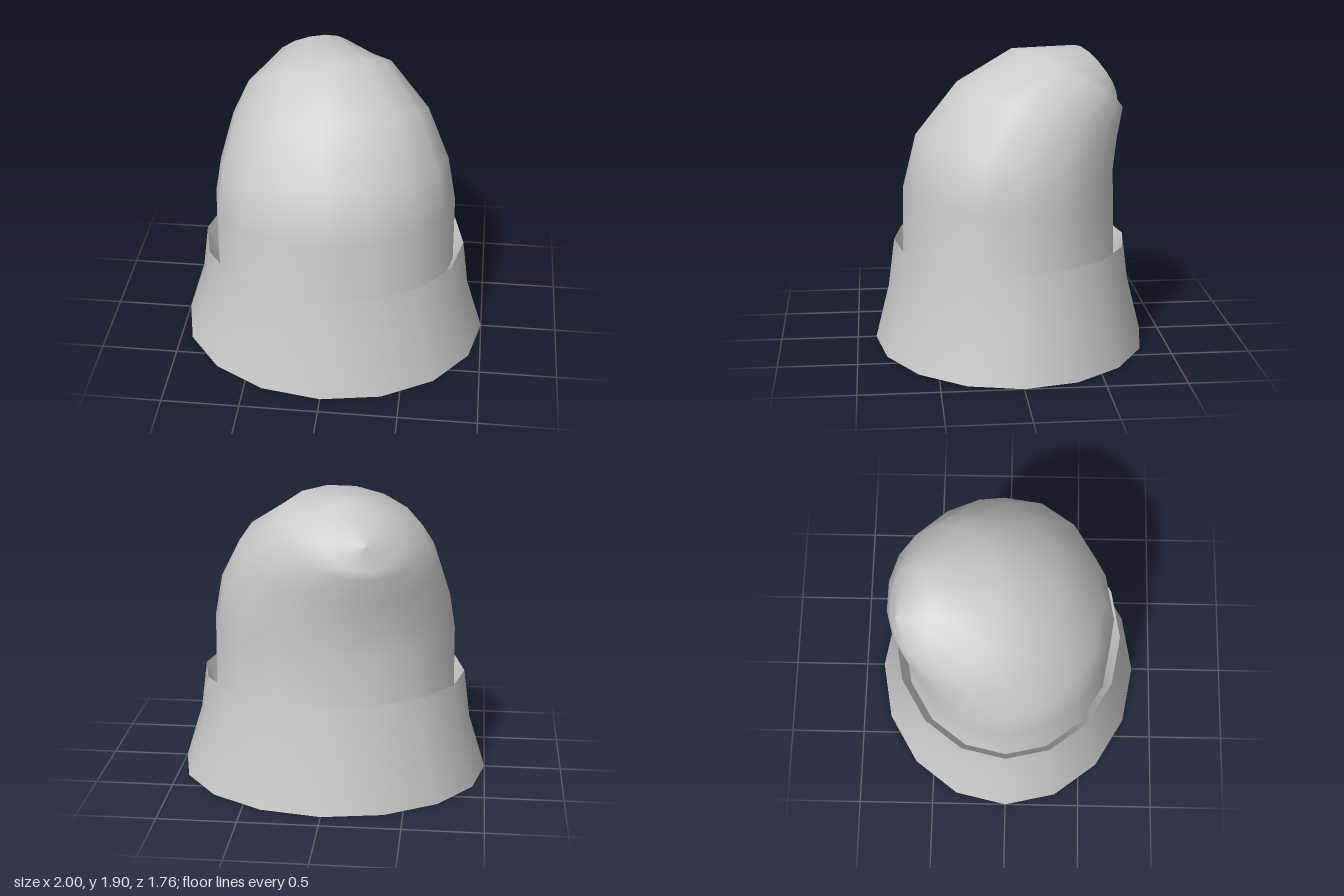
import * as THREE from 'three';

const SIDES = 16;

// Skin a stack of elliptical rings. Each ring: centre (x, y, z),
// half-axis towards the front (y, z), half-axis towards the left (x, y, z).
function loft(name, rings, material) {
  const pos = [], index = [];
  for (const [cx, cy, cz, uy, uz, vx, vy, vz] of rings) {
    for (let j = 0; j < SIDES; j++) {
      const t = (j / SIDES) * Math.PI * 2, c = Math.cos(t), s = Math.sin(t);
      pos.push(cx + vx * s, cy + uy * c + vy * s, cz + uz * c + vz * s);
    }
  }
  for (let i = 0; i < rings.length - 1; i++) {
    for (let j = 0; j < SIDES; j++) {
      const k = (j + 1) % SIDES;
      const a = i * SIDES + j, b = i * SIDES + k;
      index.push(a, b, b + SIDES, a, b + SIDES, a + SIDES);
    }
  }
  const geometry = new THREE.BufferGeometry();
  geometry.setAttribute('position', new THREE.Float32BufferAttribute(pos, 3));
  geometry.setIndex(index);
  geometry.computeVertexNormals();
  const mesh = new THREE.Mesh(geometry, material);
  mesh.name = name;
  return mesh;
}

// Level ring of a given height, width and depth
const level = (y, rx, rz) => [0, y, 0, 0, rz, rx, 0, 0];

export function createModel() {
  // The hood is an open, hollow shell
  const material = new THREE.MeshStandardMaterial({ color: 0xcccccc, side: THREE.DoubleSide });
  const group = new THREE.Group();
  group.name = 'hood';

  // Flared collar around the foot
  group.add(loft('collar', [
    level(0, 1, 0.88),
    level(0.36, 0.89, 0.79),
    level(0.67, 0.85, 0.75),
  ], material));

  // Inner wall of the collar, sloping down to meet the dome
  group.add(loft('collarLining', [level(0.67, 0.85, 0.75), level(0.53, 0.78, 0.69)], material));

  // Dome: flared skirt inside the collar, then rings tipping back and to the side
  group.add(loft('dome', [
    level(0, 0.995, 0.875),
    level(0.3, 0.89, 0.785),
    level(0.53, 0.785, 0.695),
    [0, 0.985, 0, 0.035, 0.685, 0.78, 0.02, 0],
    [-0.01, 1.24, -0.04, 0.12, 0.64, 0.735, 0.045, 0],
    [-0.05, 1.505, -0.19, 0.185, 0.52, 0.63, 0.055, 0],
    [-0.14, 1.68, -0.385, 0.205, 0.355, 0.46, 0.075, -0.05],
    [-0.21, 1.705, -0.58, 0.185, 0.13, 0.25, 0.05, -0.04],
    [-0.25, 1.66, -0.67, 0, 0, 0, 0, 0],
  ], material));

  return group;
}
